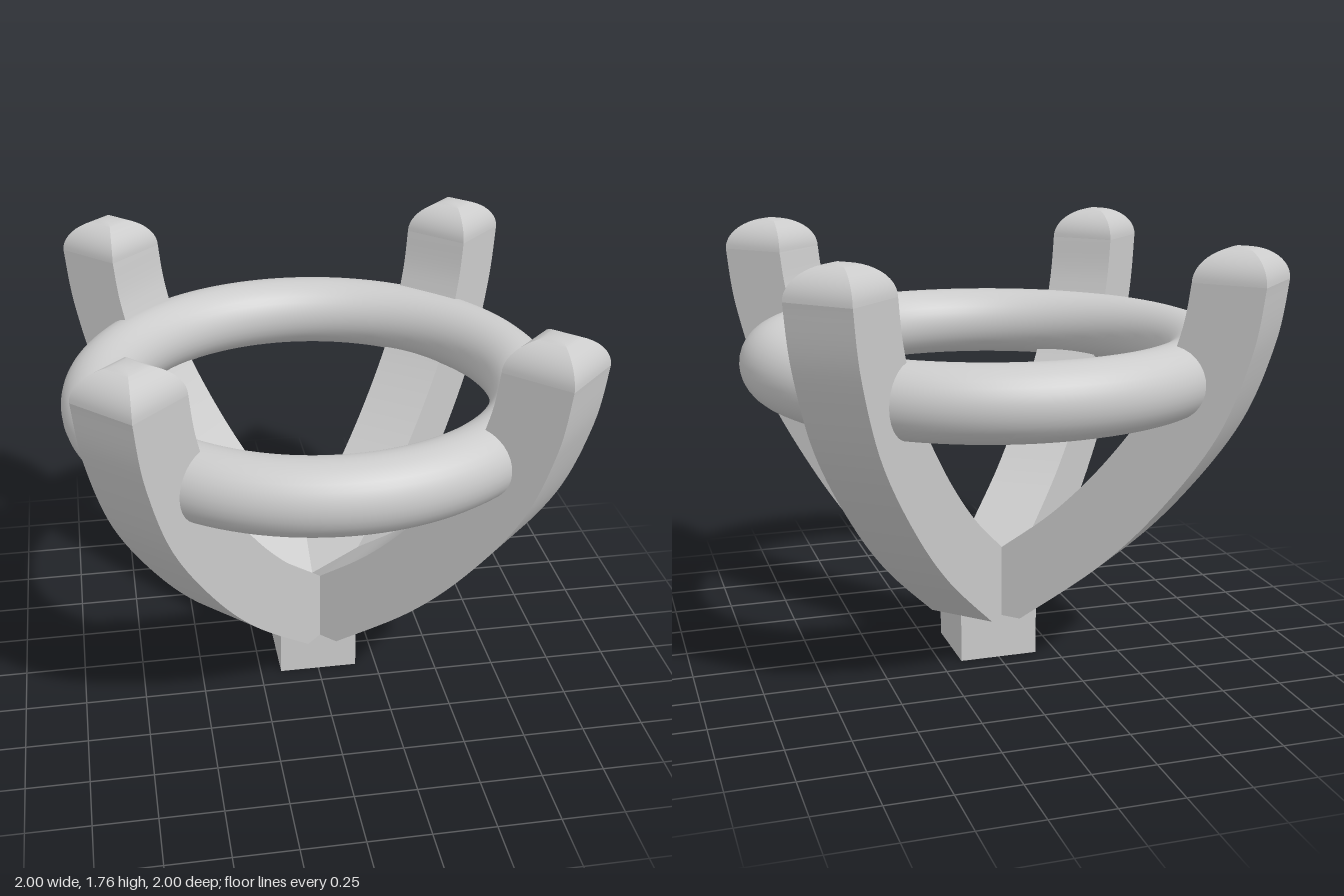
import * as THREE from 'three';
import { toCreasedNormals } from 'three/addons/utils/BufferGeometryUtils.js';

const material = new THREE.MeshStandardMaterial({ color: 0xcccccc });
const WIDTH = 0.283; // square section of a prong
const TOP = 1.637; // height where the rounded tip begins
const TIP_R = 1.06; // distance of a tip from the axis

function part(name, geometry, parent) {
  const mesh = new THREE.Mesh(geometry, material);
  mesh.name = name;
  parent.add(mesh);
  return mesh;
}

const v = (x, y) => new THREE.Vector2(x, y);

// Curved side profile of one prong: x is the distance from the axis
function prongGeometry() {
  const outer = new THREE.SplineCurve([
    v(0.226, 0.2), v(0.57, 0.48), v(0.82, 0.75), v(1.04, 1.07),
    v(1.16, 1.39), v(TIP_R + WIDTH / 2, TOP),
  ]).getPoints(40);
  const inner = new THREE.SplineCurve([
    v(TIP_R - WIDTH / 2, TOP), v(0.885, 1.45), v(0.79, 1.2), v(0.6, 0.926),
    v(0.378, 0.687), v(0.1414, 0.497), v(0, 0.385),
  ]).getPoints(40);
  const shape = new THREE.Shape([v(0, 0.2), ...outer, ...inner]);
  const geometry = new THREE.ExtrudeGeometry(shape, { depth: WIDTH, bevelEnabled: false });
  geometry.translate(0, 0, -WIDTH / 2);
  return toCreasedNormals(geometry, 0.5);
}

// Four-sided domed tip
function tipGeometry() {
  const points = [];
  for (let i = 0; i <= 12; i++) {
    const a = (i / 12) * Math.PI / 2;
    points.push(v(i === 12 ? 0 : (WIDTH / Math.SQRT2) * Math.cos(a), 0.128 * Math.sin(a)));
  }
  return toCreasedNormals(new THREE.LatheGeometry(points, 4, Math.PI / 4), 0.5);
}

export function createModel() {
  const model = new THREE.Group();
  model.name = 'prongSetting';

  // Square foot
  part('base', new THREE.BoxGeometry(0.326, 0.2, 0.326), model).position.y = 0.1;

  // Horizontal ring held by the prongs
  const ring = part('ring', new THREE.TorusGeometry(0.855, 0.145, 32, 120), model);
  ring.rotation.x = Math.PI / 2;
  ring.position.y = 1.255;

  // Four prongs on the diagonals
  const prongShape = prongGeometry();
  const tipShape = tipGeometry();
  for (let i = 0; i < 4; i++) {
    const prong = new THREE.Group();
    prong.name = 'prong' + (i + 1);
    part('prongArm', prongShape, prong);
    part('prongTip', tipShape, prong).position.set(TIP_R, TOP, 0);
    prong.rotation.y = Math.PI / 4 + (i * Math.PI) / 2;
    model.add(prong);
  }
  return model;
}
